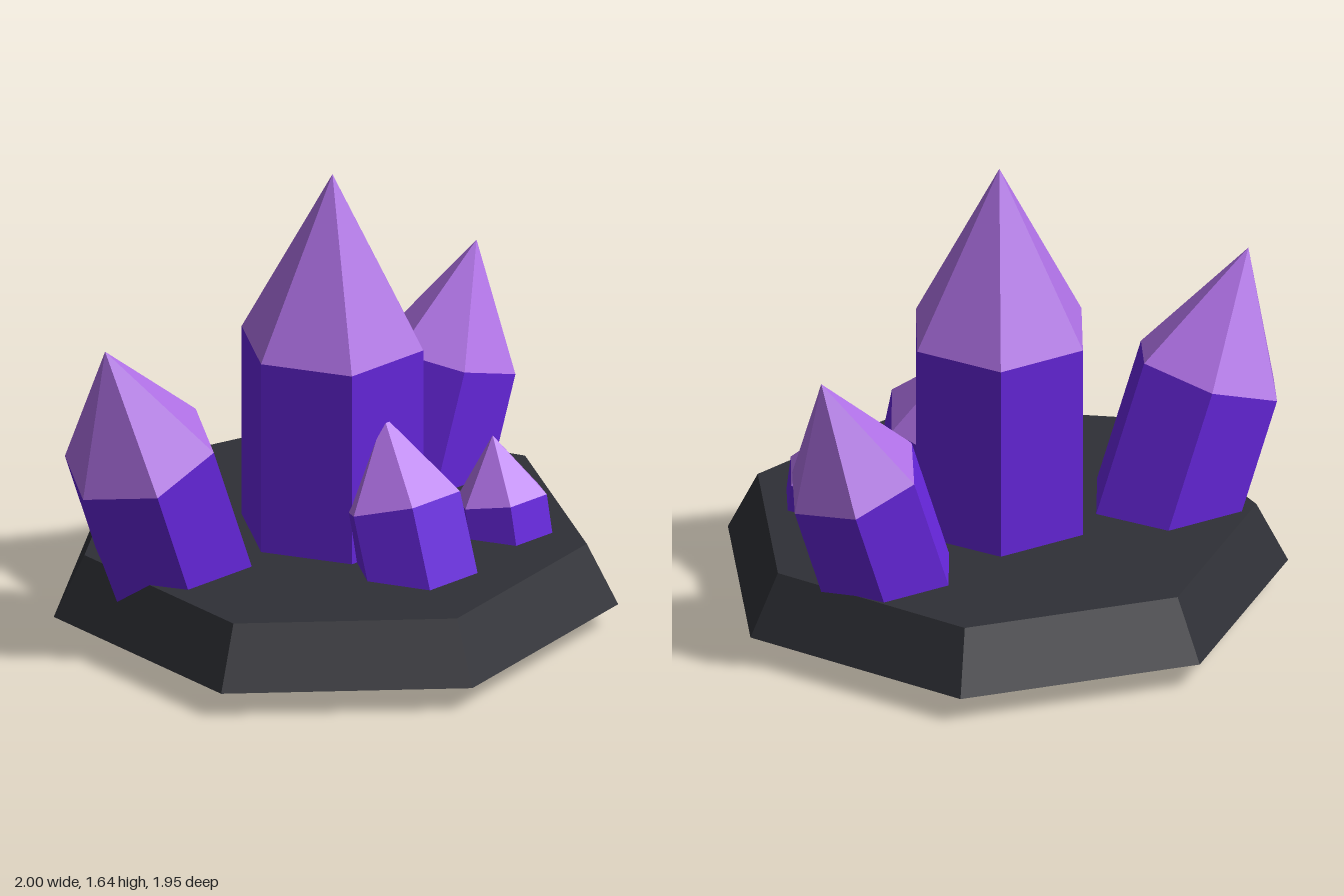
import * as THREE from 'three';

const mat = (name, color) => {
  const m = new THREE.MeshStandardMaterial({ color, flatShading: true });
  m.name = name;
  return m;
};

export function createModel() {
  const model = new THREE.Group();
  model.name = 'crystalCluster';
  const rock = mat('darkRock', 0x2f3036);
  const body = mat('deepPurple', 0x6626dc);
  const tip = mat('lightPurple', 0xae70e4);

  const add = (parent, name, geometry, material, y) => {
    const mesh = new THREE.Mesh(geometry, material);
    mesh.name = name;
    mesh.position.y = y;
    parent.add(mesh);
  };

  // Seven-sided rock slab with one corner pointing to +x
  add(model, 'rockBase',
    new THREE.CylinderGeometry(0.89, 1, 0.22, 7, 1, false, Math.PI / 2), rock, 0.21);

  // Six-sided prism with a pointed cap, placed by its foot and leaned by degrees
  const crystal = (name, [x, y, z], radius, height, point, leanX, leanZ) => {
    const g = new THREE.Group();
    g.name = name;
    add(g, name + 'Body',
      new THREE.CylinderGeometry(radius, radius, height, 6, 1, false, Math.PI / 2), body, height / 2);
    add(g, name + 'Tip',
      new THREE.ConeGeometry(radius, point, 6, 1, true, Math.PI / 2), tip, height + point / 2);
    g.position.set(x, y, z);
    g.rotation.set(THREE.MathUtils.degToRad(leanX), 0, THREE.MathUtils.degToRad(leanZ));
    model.add(g);
  };

  crystal('mainCrystal', [0, 0.105, 0], 0.33, 0.925, 0.62, 0, 0);
  crystal('rightCrystal', [-0.504, 0.105, -0.17], 0.277, 0.692, 0.463, 0, 20);
  crystal('leftCrystal', [0.492, 0.1, -0.17], 0.247, 0.637, 0.416, 0, -18);
  crystal('frontCrystal', [0, 0.1, 0.5], 0.22, 0.463, 0.3, -18, 0);
  crystal('smallCrystal', [0.445, 0.1, 0.446], 0.167, 0.333, 0.22, -12, 0);

  return model;
}
